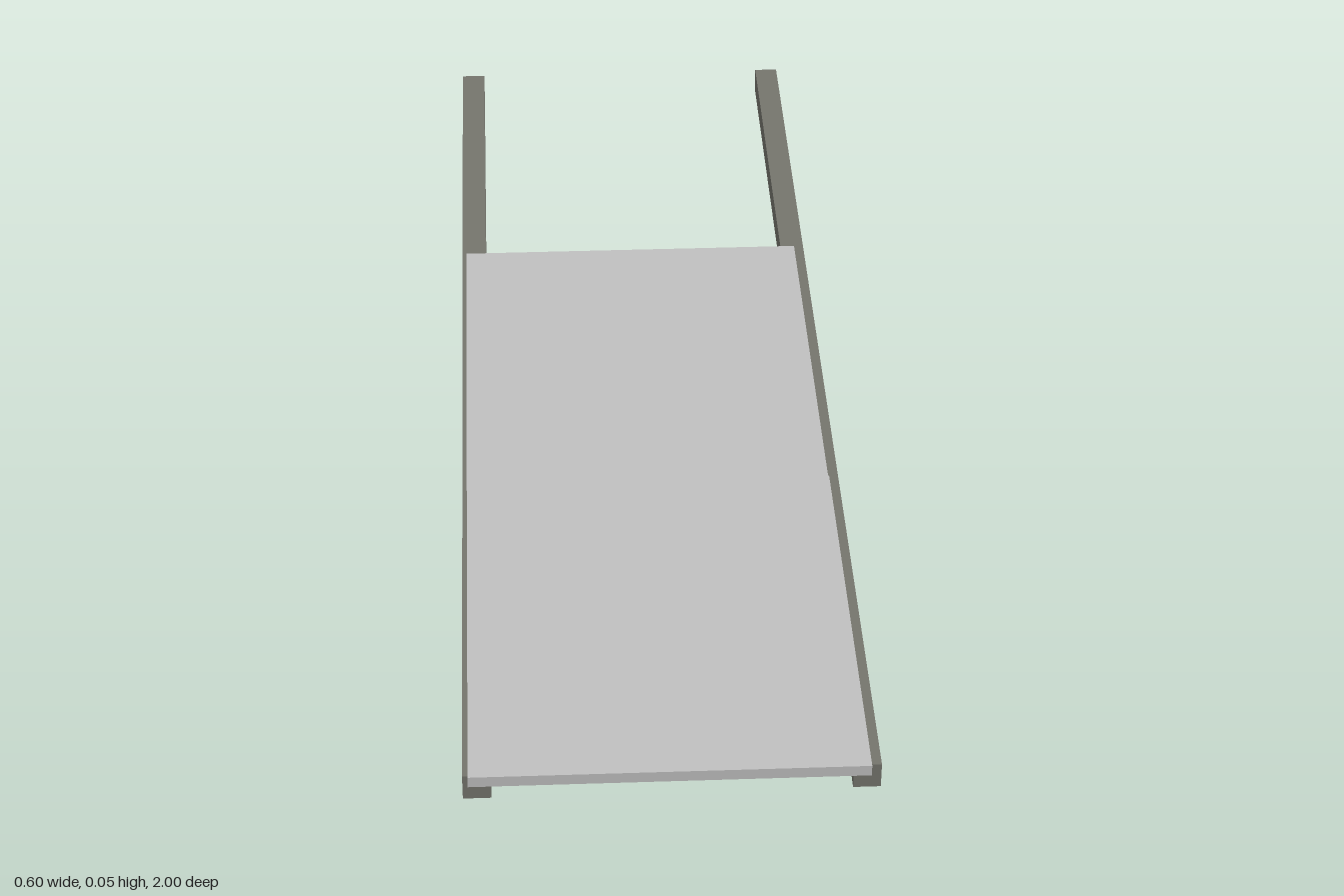
import * as THREE from 'three';

export function createModel() {
  const group = new THREE.Group();
  const railGrey = new THREE.MeshStandardMaterial({ color: 0x75756d });
  railGrey.name = 'dark rail grey';
  const panelGrey = new THREE.MeshStandardMaterial({ color: 0xc0c0c0 });
  panelGrey.name = 'light panel grey';

  // Box given by its extents on each axis
  function slab(name, material, [x0, x1], [y0, y1], [z0, z1]) {
    const mesh = new THREE.Mesh(new THREE.BoxGeometry(x1 - x0, y1 - y0, z1 - z0), material);
    mesh.position.set((x0 + x1) / 2, (y0 + y1) / 2, (z0 + z1) / 2);
    mesh.name = name;
    group.add(mesh);
  }

  // Two long square rails
  slab('leftRail', railGrey, [0.26, 0.3], [0, 0.042], [-1, 0.984]);
  slab('rightRail', railGrey, [-0.301, -0.26], [0, 0.042], [-1, 0.984]);

  // Raised front panel, overhanging the rail ends
  slab('frontPanel', panelGrey, [-0.293, 0.284], [0.036, 0.054], [0.312, 1]);

  // Lower rear panel, almost level with the rail tops
  slab('rearPanel', panelGrey, [-0.294, 0.284], [0.036, 0.0432], [-0.377, 0.312]);

  return group;
}
